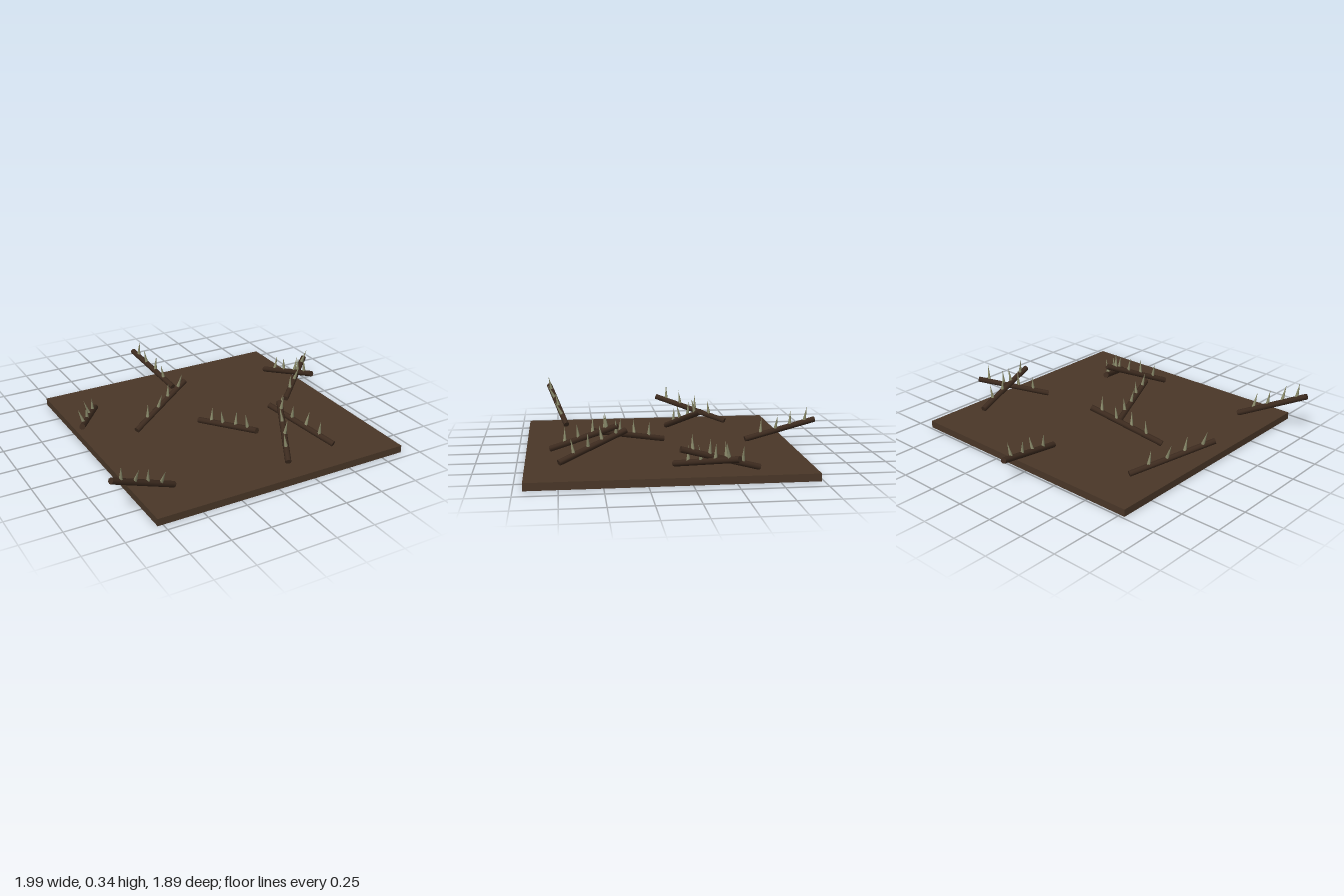
import * as THREE from 'three';

const UP = new THREE.Vector3(0, 1, 0);
const LOW_END = 0.06;
const THORNS_PER_BRANCH = 4;

// Each branch: low end (x, z), raised end (x, y, z), common lean of its thorns (x, z)
const BRANCHES = [
  { low: [0.04, -0.46], high: [-0.035, 0.165, -0.94], lean: [0, -0.01] },
  { low: [-0.555, -0.43], high: [-0.83, 0.195, 0.03], lean: [-0.02, 0.005] },
  { low: [-0.455, 0], high: [-0.02, 0.235, -0.175], lean: [0.012, 0.01] },
  { low: [-0.04, 0.065], high: [0.11, 0.155, 0.52], lean: [-0.005, 0] },
  { low: [0.525, 0.745], high: [0.315, 0.2, 0.335], lean: [0.01, 0.01] },
  { low: [0.16, 0.795], high: [0.355, 0.235, 0.39], lean: [-0.005, 0.005] },
  { low: [-0.55, 0.69], high: [-0.985, 0.27, 0.805], lean: [0, 0.035] },
  { low: [0.62, 0.075], high: [0.98, 0.165, -0.245], lean: [0.015, 0.008] },
  { low: [0.758, -0.405], high: [0.83, 0.195, 0.065], lean: [0.005, 0] },
];

// Stands a y-up mesh between two points
function between(mesh, a, b) {
  mesh.position.copy(a).lerp(b, 0.5);
  mesh.quaternion.setFromUnitVectors(UP, b.clone().sub(a).normalize());
  return mesh;
}

export function createModel() {
  const model = new THREE.Group();
  model.name = 'thornPatch';
  const soil = new THREE.MeshStandardMaterial({ name: 'soil', color: 0x4a3728 });
  const bark = new THREE.MeshStandardMaterial({ name: 'bark', color: 0x3d2b1f });
  const paleThorn = new THREE.MeshStandardMaterial({ name: 'paleThorn', color: 0x8b8b6b });

  // Square ground slab
  const slab = new THREE.Mesh(new THREE.BoxGeometry(1.678, 0.046, 1.68), soil);
  slab.name = 'groundSlab';
  slab.position.set(0.056, 0.023, 0.105);
  model.add(slab);

  for (const { low, high, lean } of BRANCHES) {
    const branch = new THREE.Group();
    branch.name = 'thornyBranch';
    const a = new THREE.Vector3(low[0], LOW_END, low[1]);
    const b = new THREE.Vector3(...high);

    // Leaning stick
    const stick = new THREE.Mesh(new THREE.CylinderGeometry(0.019, 0.019, a.distanceTo(b), 8), bark);
    stick.name = 'stick';
    branch.add(between(stick, a, b));

    // Thorns rooted just under the bark, tilting to alternate sides
    const side = b.clone().sub(a).cross(UP).normalize();
    for (let i = 0; i < THORNS_PER_BRANCH; i++) {
      const offset = new THREE.Vector3(lean[0], 0.095, lean[1]);
      offset.addScaledVector(side, i % 2 ? 0.015 : -0.015);
      const root = a.clone().lerp(b, 0.22 + 0.21 * i).addScaledVector(offset, 0.1);
      const tip = root.clone().add(offset);
      const thorn = new THREE.Mesh(new THREE.ConeGeometry(0.012, root.distanceTo(tip), 6), paleThorn);
      thorn.name = 'thorn';
      branch.add(between(thorn, root, tip));
    }
    model.add(branch);
  }
  return model;
}
